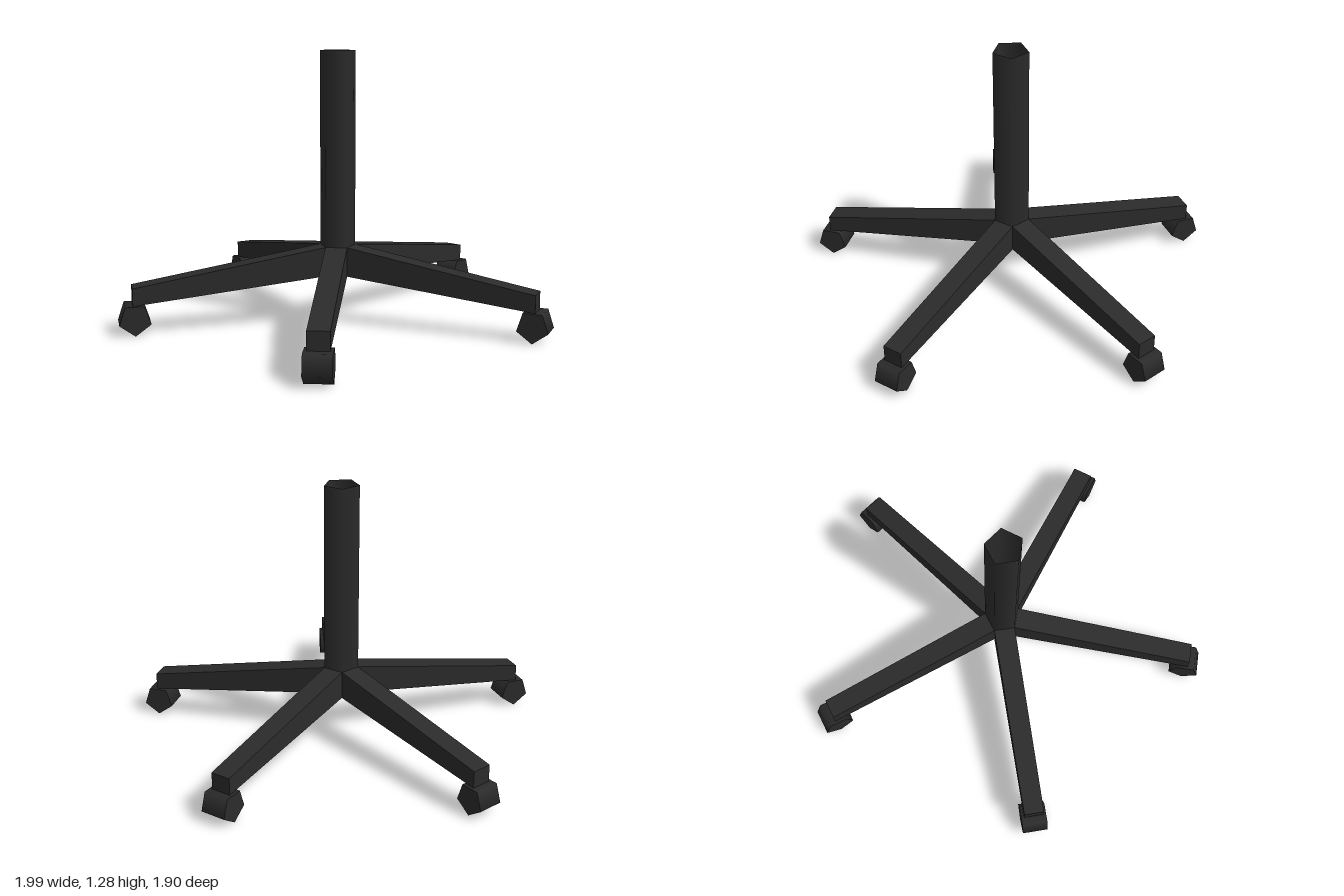
import * as THREE from 'three';

const SIDES = 5;
const CENTRE_Z = 0.077;   // hub axis
const RADIUS = 0.087;     // column radius, corner to axis
const ARM_START = RADIUS * Math.cos(Math.PI / SIDES);
const ARM_END = 0.965;

// Tapered beam along +z: each end has its own half width, bottom and top
function armGeometry() {
  const geo = new THREE.BoxGeometry(1, 1, 1);
  const p = geo.attributes.position;
  const inner = { half: 0.051, bottom: 0.227, top: 0.365 };
  const outer = { half: 0.048, bottom: 0.137, top: 0.219 };
  for (let i = 0; i < p.count; i++) {
    const end = p.getZ(i) > 0 ? outer : inner;
    p.setXYZ(
      i,
      Math.sign(p.getX(i)) * end.half,
      p.getY(i) > 0 ? end.top : end.bottom,
      p.getZ(i) > 0 ? ARM_END : ARM_START
    );
  }
  geo.computeVertexNormals();
  return geo;
}

export function createModel() {
  const group = new THREE.Group();
  group.name = 'chairBase';
  const black = new THREE.MeshStandardMaterial({ color: 0x2b2b2b, side: THREE.DoubleSide });
  black.name = 'black plastic';

  // Open five-sided column
  const bottom = 0.365, top = 1.283;
  const column = new THREE.Mesh(
    new THREE.CylinderGeometry(RADIUS, RADIUS, top - bottom, SIDES, 1, true), black);
  column.name = 'column';
  column.position.set(0, (top + bottom) / 2, CENTRE_Z);
  group.add(column);

  // Five-sided caster lying across the arm, one corner on the floor
  const wheelRadius = 0.0757;
  const wheelGeo = new THREE.CylinderGeometry(wheelRadius, wheelRadius, 0.123, SIDES);
  wheelGeo.rotateZ(Math.PI / 2).rotateX(Math.PI / 2);
  const armGeo = armGeometry();

  // Five legs around the hub, the first pointing to the back
  for (let i = 0; i < SIDES; i++) {
    const leg = new THREE.Group();
    leg.name = `leg${i + 1}`;
    leg.position.z = CENTRE_Z;
    leg.rotation.y = Math.PI + (i * 2 * Math.PI) / SIDES;

    const arm = new THREE.Mesh(armGeo, black);
    arm.name = 'arm';
    const wheel = new THREE.Mesh(wheelGeo, black);
    wheel.name = 'casterWheel';
    wheel.position.set(0, wheelRadius, 0.956);

    leg.add(arm, wheel);
    group.add(leg);
  }
  return group;
}
